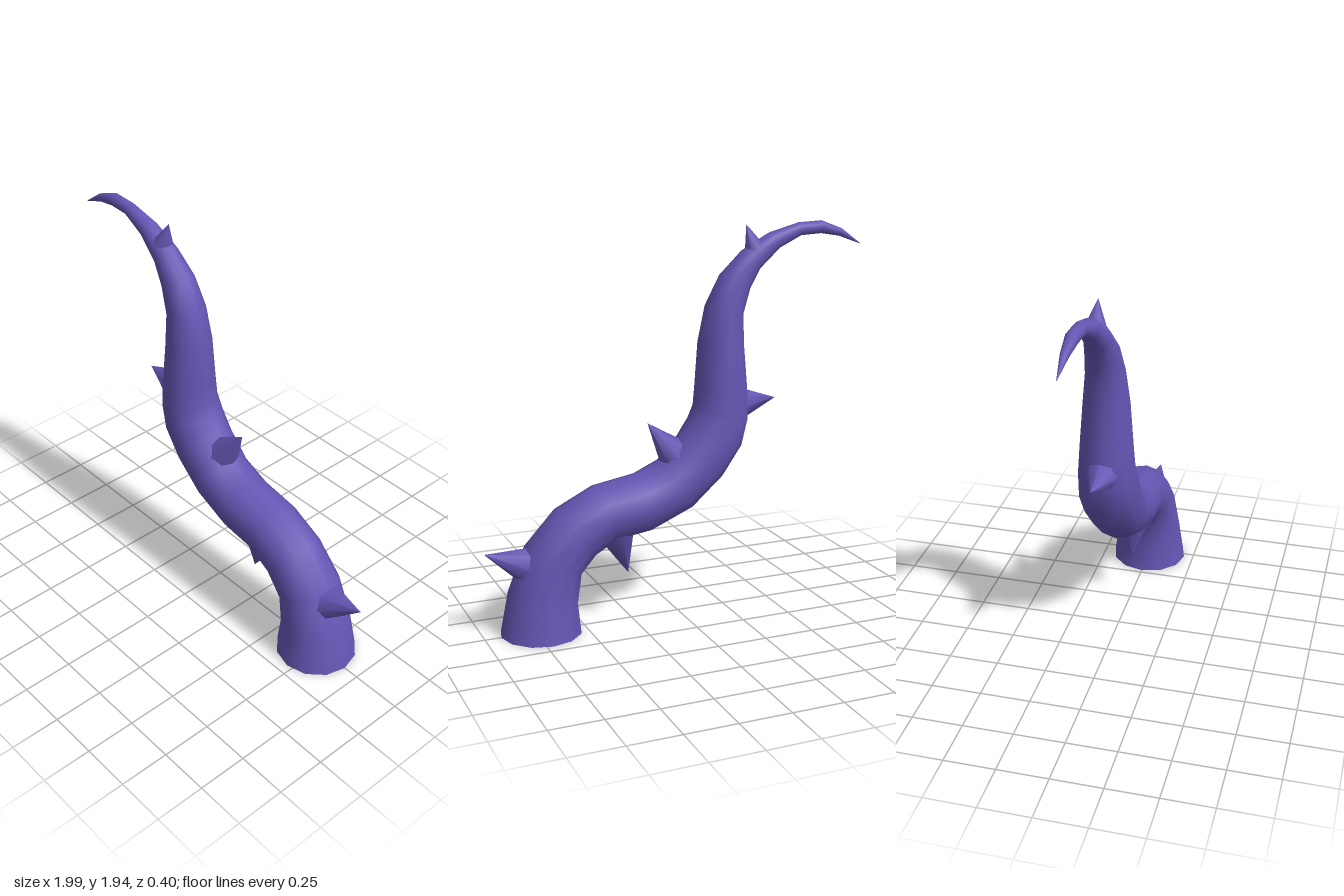
import * as THREE from 'three';

const SIDES = 12;

// Cross-sections from root to tip: outer edge x, y and inner edge x, y
const SECTIONS = [
  [0.92, 0, 0.52, 0],
  [0.88, 0.2, 0.535, 0.15],
  [0.79, 0.43, 0.515, 0.285],
  [0.63, 0.605, 0.445, 0.365],
  [0.43, 0.705, 0.34, 0.425],
  [0.21, 0.743, 0.165, 0.45],
  [0.09, 0.797, -0.06, 0.545],
  [-0.01, 0.904, -0.225, 0.69],
  [-0.067, 0.99, -0.33, 0.84],
  [-0.093, 1.05, -0.366, 0.98],
  [-0.1, 1.14, -0.364, 1.115],
  [-0.115, 1.365, -0.345, 1.34],
  [-0.152, 1.545, -0.34, 1.497],
  [-0.227, 1.69, -0.377, 1.62],
  [-0.345, 1.807, -0.43, 1.711],
  [-0.49, 1.888, -0.537, 1.807],
  [-0.644, 1.93, -0.66, 1.866],
  [-0.773, 1.936, -0.773, 1.872],
  [-0.89, 1.893, -0.874, 1.856],
  [-0.998, 1.815, -0.998, 1.812],
];

// Thorns: tip x, y, centre of the visible foot x, y, foot radius
const THORNS = [
  [0.99, 0.43, 0.82, 0.365, 0.075],
  [0.265, 0.24, 0.313, 0.418, 0.077],
  [0.158, 0.99, 0.04, 0.845, 0.074],
  [-0.532, 1.06, -0.361, 1.048, 0.071],
  [-0.361, 1.93, -0.4, 1.83, 0.044],
];

// Tapering, open-ended tube skinned over the round cross-sections
function tentacleGeometry() {
  const positions = [], index = [];
  SECTIONS.forEach(([ox, oy, ix, iy], j) => {
    const hx = (ox - ix) / 2, hy = (oy - iy) / 2;
    const r = Math.min(Math.hypot(hx, hy), j > 2 ? 0.149 : 0.2);
    for (let k = 0; k < SIDES; k++) {
      const a = (k / SIDES) * Math.PI * 2;
      const c = Math.cos(a);
      positions.push((ox + ix) / 2 + hx * c, (oy + iy) / 2 + hy * c, r * Math.sin(a));
      if (j === 0) continue;
      const n = (k + 1) % SIDES;
      const lo = (j - 1) * SIDES, hi = j * SIDES;
      index.push(lo + k, hi + k, lo + n, hi + k, hi + n, lo + n);
    }
  });
  const g = new THREE.BufferGeometry();
  g.setAttribute('position', new THREE.Float32BufferAttribute(positions, 3));
  g.setIndex(index);
  g.computeVertexNormals();
  return g;
}

// Cone whose foot is sunk a little into the tentacle
function makeThorn([tx, ty, fx, fy, radius], material) {
  const tip = new THREE.Vector3(tx, ty, 0);
  const dir = tip.clone().sub(new THREE.Vector3(fx, fy, 0));
  const grow = 1.25;
  const length = dir.length() * grow;
  dir.normalize();
  const cone = new THREE.ConeGeometry(radius * grow, length, 8, 1, true);
  const thorn = new THREE.Mesh(cone, material);
  thorn.quaternion.setFromUnitVectors(new THREE.Vector3(0, 1, 0), dir);
  thorn.position.copy(tip).addScaledVector(dir, -length / 2);
  return thorn;
}

export function createModel() {
  const group = new THREE.Group();
  group.name = 'thornyTentacle';
  const purple = new THREE.MeshStandardMaterial({ color: 0x6555b3, side: THREE.DoubleSide });
  purple.name = 'purple';

  const tentacle = new THREE.Mesh(tentacleGeometry(), purple);
  tentacle.name = 'tentacle';
  group.add(tentacle);

  THORNS.forEach((t, i) => {
    const thorn = makeThorn(t, purple);
    thorn.name = `thorn${i + 1}`;
    group.add(thorn);
  });
  return group;
}
